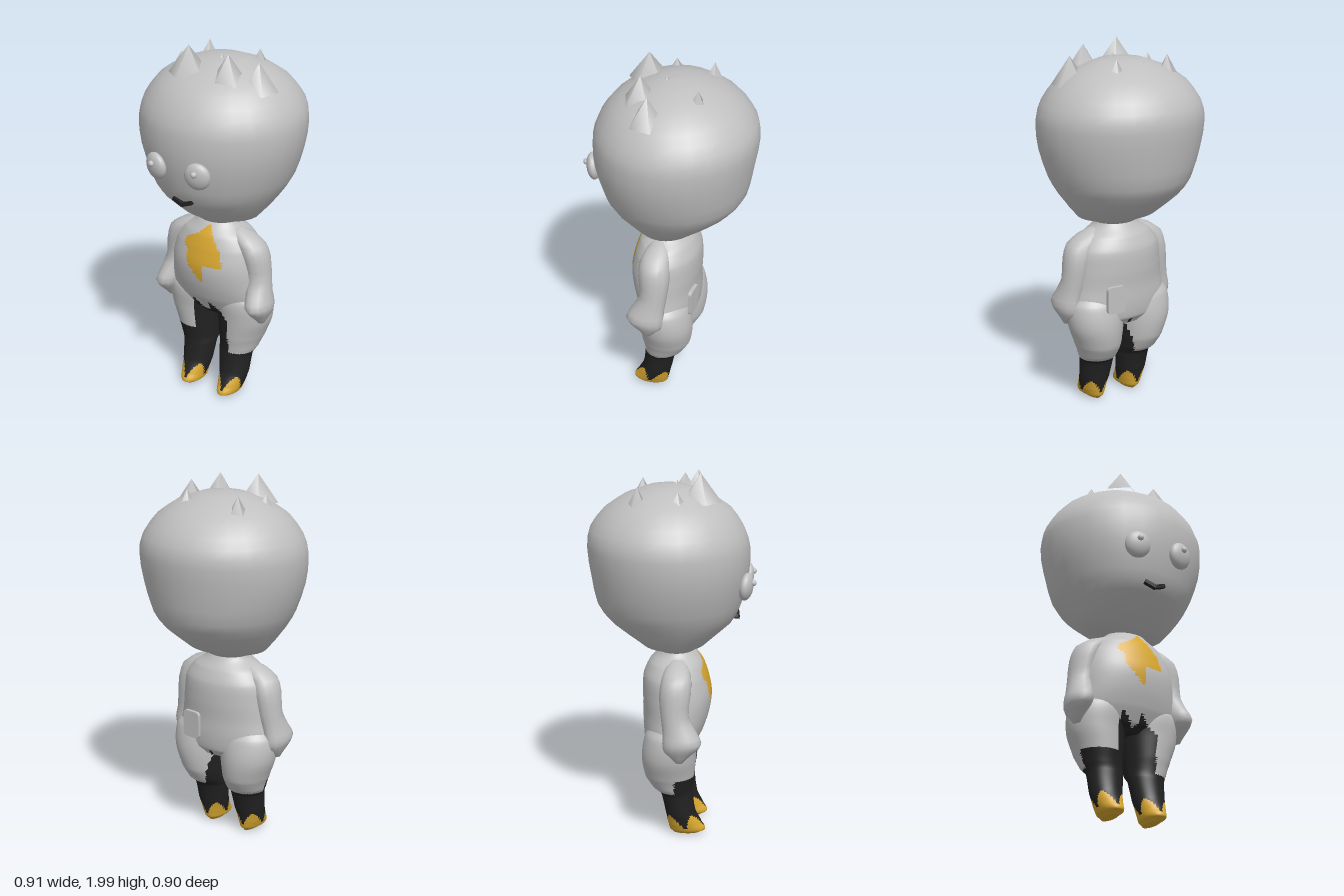
import * as THREE from 'three';

const mat = (name, color) => {
  const m = new THREE.MeshStandardMaterial({ color });
  m.name = name;
  return m;
};

// Smooth interpolation through a list of rings
const spline = (a, b, c, d, t) =>
  0.5 * (2 * b + (c - a) * t + (2 * a - 5 * b + 4 * c - d) * t * t + (3 * b - a - 3 * c + d) * t * t * t);

function refine(rings, steps) {
  const out = [];
  const at = (i) => rings[Math.min(rings.length - 1, Math.max(0, i))];
  for (let i = 0; i < rings.length - 1; i++)
    for (let s = 0; s < steps; s++)
      out.push(at(i).map((_, k) => (k === 0
        ? at(i)[0] + (at(i + 1)[0] - at(i)[0]) * s / steps
        : spline(at(i - 1)[k], at(i)[k], at(i + 1)[k], at(i + 2)[k], s / steps))));
  out.push(at(rings.length - 1));
  return out;
}

// Closed skin over horizontal oval rings [y, xMin, xMax, zMin, zMax], bottom to top.
// paint(x, y, z, angle) picks the material index of each face.
function loft(name, rings, materials, { segs = 24, steps = 3, paint = () => 0 } = {}) {
  const rows = refine(rings, steps);
  const pos = [];
  for (const [y, x0, x1, z0, z1] of rows)
    for (let j = 0; j < segs; j++) {
      const a = (j / segs) * Math.PI * 2;
      pos.push((x0 + x1) / 2 + (x1 - x0) / 2 * Math.cos(a), y, (z0 + z1) / 2 + (z1 - z0) / 2 * Math.sin(a));
    }
  for (const [y, x0, x1, z0, z1] of [rows[0], rows[rows.length - 1]]) pos.push((x0 + x1) / 2, y, (z0 + z1) / 2);
  const bottom = rows.length * segs;
  const buckets = materials.map(() => []);
  const tri = (a, b, c, angle) => {
    const mid = (k) => (pos[a * 3 + k] + pos[b * 3 + k] + pos[c * 3 + k]) / 3;
    buckets[paint(mid(0), mid(1), mid(2), angle)].push(a, b, c);
  };
  for (let j = 0; j < segs; j++) {
    const n = (j + 1) % segs;
    const angle = ((j + 0.5) / segs) * Math.PI * 2;
    tri(bottom, j, n, angle);
    for (let i = 0; i < rows.length - 1; i++) {
      const p = i * segs;
      tri(p + j, p + segs + j, p + n, angle);
      tri(p + n, p + segs + j, p + segs + n, angle);
    }
    tri(bottom + 1, bottom - segs + n, bottom - segs + j, angle);
  }
  const geo = new THREE.BufferGeometry();
  geo.setAttribute('position', new THREE.Float32BufferAttribute(pos, 3));
  geo.setIndex(buckets.flat());
  let start = 0;
  buckets.forEach((b, i) => {
    if (b.length) geo.addGroup(start, b.length, i);
    start += b.length;
  });
  geo.computeVertexNormals();
  const mesh = new THREE.Mesh(geo, materials);
  mesh.name = name;
  return mesh;
}

function inside(poly, x, y) {
  let hit = false;
  poly.forEach(([ax, ay], i) => {
    const [bx, by] = poly[(i + 1) % poly.length];
    if ((ay > y) !== (by > y) && x < ax + (bx - ax) * (y - ay) / (by - ay)) hit = !hit;
  });
  return hit;
}

const TIE = [[0.02, 1.03], [0.06, 0.97], [0.12, 0.89], [0.13, 0.81], [0.02, 0.81], [0.02, 0.7],
  [-0.09, 0.81], [-0.09, 0.88], [-0.12, 0.9], [-0.11, 0.94], [-0.03, 0.98]];
const TROUSER_FRONT = [[-0.09, 0.3], [-0.09, 0.585], [0.01, 0.48], [0.02, 0.58], [0.13, 0.47], [0.13, 0.2]];

// 0 coat, 1 trousers, 2 gold
function bodyPaint(x, y, z, angle) {
  if (y > 0.65) return z > 0 && inside(TIE, x, y) ? 2 : 0;
  if (y < 0.04 + 0.09 * Math.abs(Math.sin(angle * 2))) return 2;
  if (z > 0.03 && inside(TROUSER_FRONT, x, y)) return 1;
  if (Math.abs(x - 0.01) < (0.52 - y) * 0.3) return 1;
  const hem = x < 0 && z > 0.03 ? 0.36 : 0.27;
  return y < hem ? 1 : 0;
}

export function createModel() {
  const model = new THREE.Group();
  model.name = 'figure';
  const grey = mat('soft grey', 0xc0c0c0);
  const black = mat('black', 0x222222);
  const gold = mat('gold', 0xd9a830);
  const cloth = [grey, black, gold];

  // Head
  const headRings = [
    [1.03, 0.1, -0.06, 0.12], [1.08, 0.23, -0.16, 0.19], [1.2, 0.325, -0.32, 0.325],
    [1.3, 0.385, -0.395, 0.375], [1.45, 0.435, -0.425, 0.41], [1.6, 0.453, -0.445, 0.415],
    [1.7, 0.428, -0.43, 0.385], [1.8, 0.355, -0.355, 0.315], [1.87, 0.255, -0.25, 0.21],
    [1.915, 0.13, -0.13, 0.1], [1.925, 0.03, -0.04, 0.02],
  ].map(([y, w, z0, z1]) => [y, -w, w, z0, z1]);
  model.add(loft('head', headRings, [grey], { segs: 28, steps: 2 }));

  // Hair tufts: [x, y, z of tip, base radius]
  [[-0.1, 2.0, 0.165, 0.11], [0.135, 1.985, 0.14, 0.1], [0.275, 1.945, 0.06, 0.1],
    [-0.2, 1.94, -0.17, 0.08], [0.13, 1.94, -0.17, 0.08], [-0.23, 1.92, 0.05, 0.09],
    [0.02, 1.945, 0.03, 0.08]].forEach(([x, y, z, r], i) => {
    const h = 0.15;
    const tuft = new THREE.Mesh(new THREE.ConeGeometry(r, h, 5, 1, true, i), grey);
    tuft.name = 'hairTuft';
    tuft.position.set(x * 0.97, y - h / 2, z * 0.95);
    model.add(tuft);
  });

  // Eyes with a small raised glint
  for (const s of [-1, 1]) {
    const eye = new THREE.Group();
    eye.name = s > 0 ? 'leftEye' : 'rightEye';
    const ball = new THREE.Mesh(new THREE.SphereGeometry(1, 24, 16), grey);
    ball.name = 'eyeball';
    ball.scale.set(0.07, 0.074, 0.036);
    const glint = new THREE.Mesh(new THREE.SphereGeometry(0.017, 12, 8), grey);
    glint.name = 'glint';
    glint.position.set(-s * 0.005, 0.026, 0.034);
    eye.add(ball, glint);
    eye.position.set(s * 0.13, 1.415, 0.398);
    eye.rotation.set(0.12, s * 0.25, 0);
    model.add(eye);
  }

  // Mouth
  for (const s of [-1, 1]) {
    const lip = new THREE.Mesh(new THREE.BoxGeometry(0.066, 0.02, 0.025), black);
    lip.name = 'mouth';
    lip.position.set(s * 0.028, 1.226, 0.35);
    lip.rotation.set(0, s * 0.1, s * 0.36);
    model.add(lip);
  }

  // Torso
  model.add(loft('torso', [
    [0.48, -0.25, 0.25, -0.11, 0.1], [0.52, -0.27, 0.27, -0.14, 0.14], [0.6, -0.29, 0.29, -0.15, 0.18],
    [0.7, -0.28, 0.28, -0.15, 0.21], [0.8, -0.27, 0.27, -0.155, 0.22], [0.9, -0.25, 0.25, -0.15, 0.2],
    [0.97, -0.2, 0.2, -0.12, 0.175], [1.02, -0.13, 0.13, -0.08, 0.14], [1.07, -0.11, 0.11, -0.05, 0.1],
  ], cloth, { segs: 80, steps: 8, paint: bodyPaint }));

  const legRings = [
    [0.008, 0.09, 0.15, 0.02, 0.16], [0.03, 0.065, 0.18, 0.0, 0.195], [0.07, 0.055, 0.195, -0.01, 0.175],
    [0.14, 0.04, 0.21, -0.025, 0.14], [0.25, 0.025, 0.22, -0.05, 0.125], [0.29, 0.02, 0.24, -0.095, 0.125],
    [0.36, 0.012, 0.268, -0.135, 0.135], [0.48, 0.0, 0.31, -0.15, 0.145], [0.6, -0.01, 0.31, -0.13, 0.15],
    [0.68, 0.04, 0.25, -0.08, 0.1],
  ];
  const armRings = [
    [0.49, 0.28, 0.32, 0.04, 0.08], [0.55, 0.25, 0.352, -0.02, 0.14], [0.6, 0.23, 0.368, -0.03, 0.18],
    [0.66, 0.22, 0.352, -0.03, 0.15], [0.74, 0.2, 0.336, -0.04, 0.11], [0.85, 0.18, 0.325, -0.05, 0.12],
    [0.93, 0.14, 0.3, -0.04, 0.12], [0.98, 0.1, 0.23, -0.02, 0.1], [1.01, 0.08, 0.16, 0.01, 0.07],
  ];
  const mirrored = (rings, s) => (s > 0 ? rings : rings.map(([y, a, b, c, d]) => [y, -b, -a, c, d]));
  for (const s of [-1, 1]) {
    const side = s > 0 ? 'left' : 'right';
    // Leg with coat hem, trousers and shoe
    model.add(loft(side + 'Leg', mirrored(legRings, s), cloth, { segs: 48, steps: 7, paint: bodyPaint }));
    // Sleeve and hand
    model.add(loft(side + 'Arm', mirrored(armRings, s), [grey], { segs: 14, steps: 2 }));
  }

  // Rounded plate on the back
  const w = 0.055, h = 0.075, r = 0.02;
  const shape = new THREE.Shape();
  shape.absarc(w - r, h - r, r, 0, Math.PI / 2);
  shape.absarc(-w + r, h - r, r, Math.PI / 2, Math.PI);
  shape.absarc(-w + r, -h + r, r, Math.PI, Math.PI * 1.5);
  shape.absarc(w - r, -h + r, r, Math.PI * 1.5, Math.PI * 2);
  const plate = new THREE.Mesh(new THREE.ExtrudeGeometry(shape, { depth: 0.02, bevelEnabled: false, curveSegments: 5 }), grey);
  plate.name = 'backPlate';
  plate.position.set(0.12, 0.645, -0.157);
  plate.rotation.y = -0.1;
  model.add(plate);

  return model;
}
